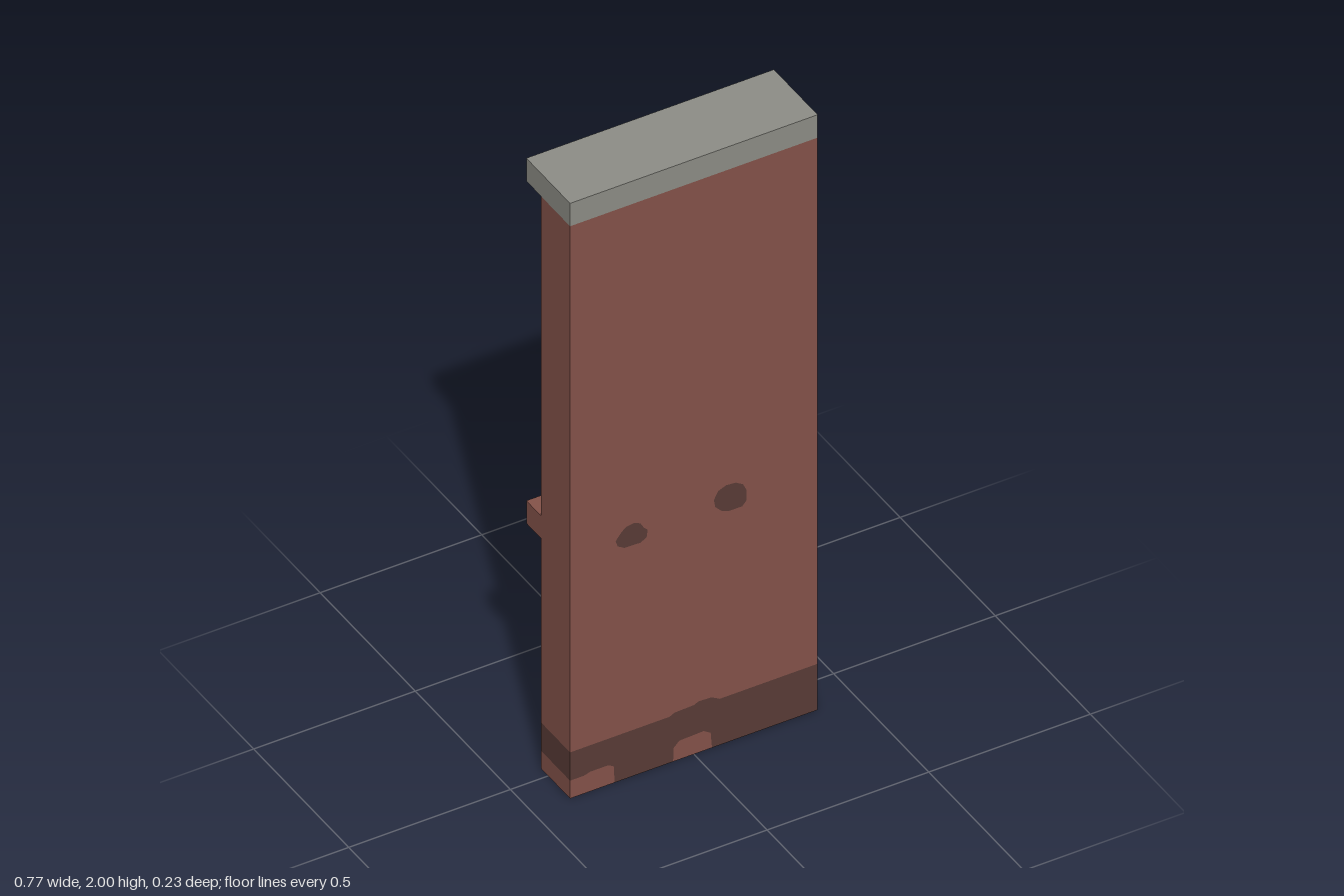
import * as THREE from 'three';

const W = 0.383, BACK = -0.037, FRONT = 0.115;

const material = (name, color) => {
  const m = new THREE.MeshStandardMaterial({ color });
  m.name = name;
  return m;
};

const points = (list) => list.map(([x, y]) => new THREE.Vector2(x, y));

export function createModel() {
  const brick = material('brick red', 0x85534a);
  const dark = material('dark brick', 0x5a3c37);
  const stone = material('grey stone', 0x8e8e87);
  const group = new THREE.Group();

  const add = (name, geometry, mat) => {
    const mesh = new THREE.Mesh(geometry, mat);
    mesh.name = name;
    group.add(mesh);
  };
  // Outline extruded through the full wall thickness
  const slab = (name, outline, mat, holes = []) => {
    const shape = new THREE.Shape(points(outline));
    holes.forEach((h) => shape.holes.push(new THREE.Path(points(h))));
    const g = new THREE.ExtrudeGeometry(shape, { depth: FRONT - BACK, bevelEnabled: false });
    add(name, g.translate(0, 0, BACK), mat);
  };
  const box = (name, x0, x1, y0, y1, z0, z1, mat) => {
    const g = new THREE.BoxGeometry(x1 - x0, y1 - y0, z1 - z0);
    add(name, g.translate((x0 + x1) / 2, (y0 + y1) / 2, (z0 + z1) / 2), mat);
  };

  // Stains that run through the wall
  const stains = [
    [[-0.242, 0.81], [-0.236, 0.79], [-0.215, 0.777], [-0.165, 0.775], [-0.146, 0.786], [-0.143, 0.81],
      [-0.155, 0.822], [-0.165, 0.84], [-0.185, 0.849], [-0.21, 0.845], [-0.225, 0.832]],
    [[0.062, 0.83], [0.066, 0.805], [0.085, 0.785], [0.11, 0.775], [0.15, 0.775], [0.163, 0.79],
      [0.163, 0.825], [0.152, 0.848], [0.13, 0.862], [0.1, 0.865], [0.075, 0.855]],
  ];
  // Upper edge of the dark base, and the bare patches at its foot
  const edge = [[-W, 0.155], [-0.075, 0.155], [-0.06, 0.163], [0, 0.165], [0.015, 0.172],
    [0.055, 0.17], [0.08, 0.155], [W, 0.155]];
  const cornerTop = [[-W, 0.06], [-0.34, 0.06], [-0.32, 0.066], [-0.265, 0.066], [-0.248, 0.056], [-0.245, 0]];
  const middleTop = [[-0.064, 0], [-0.063, 0.045], [-0.045, 0.063], [0.03, 0.066], [0.052, 0.052], [0.056, 0]];

  slab('wall', [...edge, [W, 1.923], [-W, 1.923]], brick, stains);
  stains.forEach((s, i) => slab('wallStain' + (i + 1), s, dark));
  slab('darkBase', [...cornerTop, ...middleTop, [W, 0], ...[...edge].reverse()], dark);
  slab('cornerPatch', [[-W, 0], ...cornerTop], brick);
  slab('middlePatch', middleTop, brick);

  // Rear rail with dark stretches in line with the stains
  const cuts = [-W, -0.25, -0.143, 0.056, 0.163, W];
  for (let i = 0; i < 5; i++) {
    box('railSection' + (i + 1), cuts[i], cuts[i + 1], 0.773, 0.849, -0.115, BACK, i % 2 ? dark : brick);
  }

  // Coping stone
  box('coping', -W, W, 1.923, 2, -0.115, FRONT, stone);
  return group;
}
